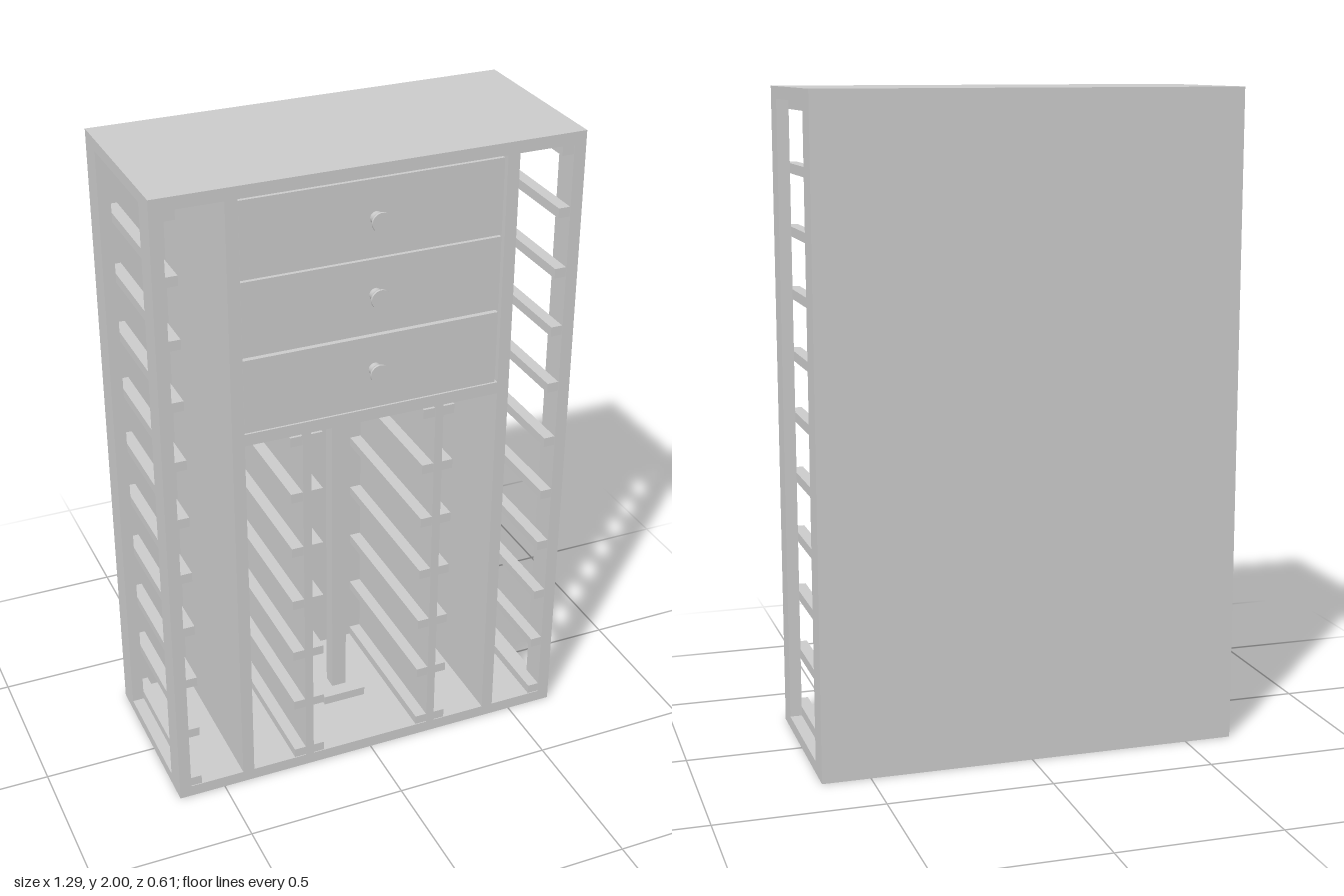
import * as THREE from 'three';

const W = 0.647, T = 0.037, H = 2, FRONT = 0.263, BACK = -0.303, INNER_BACK = -0.28;
const material = new THREE.MeshStandardMaterial({ color: 0xcccccc, flatShading: true });
const smooth = new THREE.MeshStandardMaterial({ color: 0xcccccc });

// Box given by its extents on each axis
function box(parent, name, x0, x1, y0, y1, z0, z1) {
  const mesh = new THREE.Mesh(new THREE.BoxGeometry(x1 - x0, y1 - y0, z1 - z0), material);
  mesh.position.set((x0 + x1) / 2, (y0 + y1) / 2, (z0 + z1) / 2);
  mesh.name = name;
  parent.add(mesh);
  return mesh;
}

// Stack of bottle rails on one face of a panel
function rails(parent, name, x0, x1, count) {
  const group = new THREE.Group();
  group.name = name;
  const step = (H - 2 * T - 0.03) / 10;
  for (let i = 0; i < count; i++) {
    const y = T + i * step;
    box(group, 'rail', x0, x1, y, y + 0.03, INNER_BACK, FRONT - 0.003);
  }
  parent.add(group);
}

// Open side wall: a frame with one tall opening
function sideFrame(parent, name, x0) {
  const shape = new THREE.Shape();
  shape.moveTo(-FRONT, T).lineTo(-INNER_BACK, T).lineTo(-INNER_BACK, H - T).lineTo(-FRONT, H - T).closePath();
  const frame = new THREE.Group();
  frame.name = name;
  box(frame, 'frontStile', x0, x0 + T, T, H - T, 0.18, FRONT);
  box(frame, 'backStile', x0, x0 + T, T, H - T, INNER_BACK, -0.215);
  parent.add(frame);
}

// Drawer with front, sides, base and flared knob
function drawer(parent, y0, y1, knobY) {
  const group = new THREE.Group();
  group.name = 'drawer';
  const x0 = -0.4, x1 = 0.39, zb = -0.25, zf = FRONT - 0.03, t = 0.02;
  box(group, 'drawerFront', x0, x1, y0, y1, zf, FRONT);
  box(group, 'drawerBase', x0 + t, x1 - t, y0, y0 + t, zb + t, zf);
  box(group, 'drawerBack', x0 + t, x1 - t, y0, y1 - 0.03, zb, zb + t);
  box(group, 'drawerSide', x0, x0 + t, y0, y1 - 0.03, zb, zf);
  box(group, 'drawerSide', x1 - t, x1, y0, y1 - 0.03, zb, zf);
  const side = [[0.019, 0], [0.019, 0.014], [0.022, 0.022], [0.029, 0.033]];
  const rim = [[0.029, 0.033], [0.029, 0.04]];
  const cap = [[0.029, 0.04], [0, 0.04]];
  const knob = new THREE.Group();
  knob.name = 'knob';
  for (const profile of [side, rim, cap]) {
    const points = profile.map(([r, y]) => new THREE.Vector2(r, y));
    knob.add(new THREE.Mesh(new THREE.LatheGeometry(points, 32), smooth));
  }
  knob.children.forEach((m, i) => { m.name = ['knobStem', 'knobRim', 'knobFace'][i]; });
  knob.rotation.x = Math.PI / 2;
  knob.position.set(0, knobY, FRONT);
  group.add(knob);
  parent.add(group);
}

export function createModel() {
  const model = new THREE.Group();
  model.name = 'wineCabinet';

  // Carcass
  box(model, 'bottomPanel', -W, W, 0, T, BACK, FRONT);
  box(model, 'topPanel', -W, W, H - T, H, BACK, FRONT);
  box(model, 'backPanel', -W, W, T, H - T, BACK, INNER_BACK);
  sideFrame(model, 'rightSideFrame', -W);
  sideFrame(model, 'leftSideFrame', W - T);

  // Full-height partitions, shelf and lower dividers
  for (const s of [-1, 1]) {
    const c = s * 0.419, d = s * 0.211;
    box(model, 'partition', c - 0.0185, c + 0.0185, T, H - T, INNER_BACK, FRONT);
    box(model, 'lowerDivider', d - 0.013, d + 0.013, T, 1.212, INNER_BACK, FRONT);
    rails(model, 'dividerRails', d + 0.013, d + 0.05, 7);
    rails(model, 'dividerRails', d - 0.05, d - 0.013, 7);
  }
  box(model, 'shelf', -0.4005, 0.4005, 1.212, 1.249, INNER_BACK, FRONT);

  // Rails on the outer walls
  rails(model, 'rightWallRails', -W + T, -W + T + 0.036, 11);
  rails(model, 'leftWallRails', W - T - 0.036, W - T, 11);

  // Central post with square end plates
  const post = new THREE.Group();
  post.name = 'centrePost';
  box(post, 'postShaft', -0.024, 0.024, T + 0.029, 1.183, -0.044, 0.004);
  box(post, 'postFoot', -0.071, 0.071, T, T + 0.029, -0.091, 0.051);
  box(post, 'postHead', -0.071, 0.071, 1.183, 1.212, -0.091, 0.051);
  model.add(post);

  // Drawers
  drawer(model, 1.253, 1.482, 1.378);
  drawer(model, 1.491, 1.72, 1.613);
  drawer(model, 1.726, 1.958, 1.844);
  return model;
}
